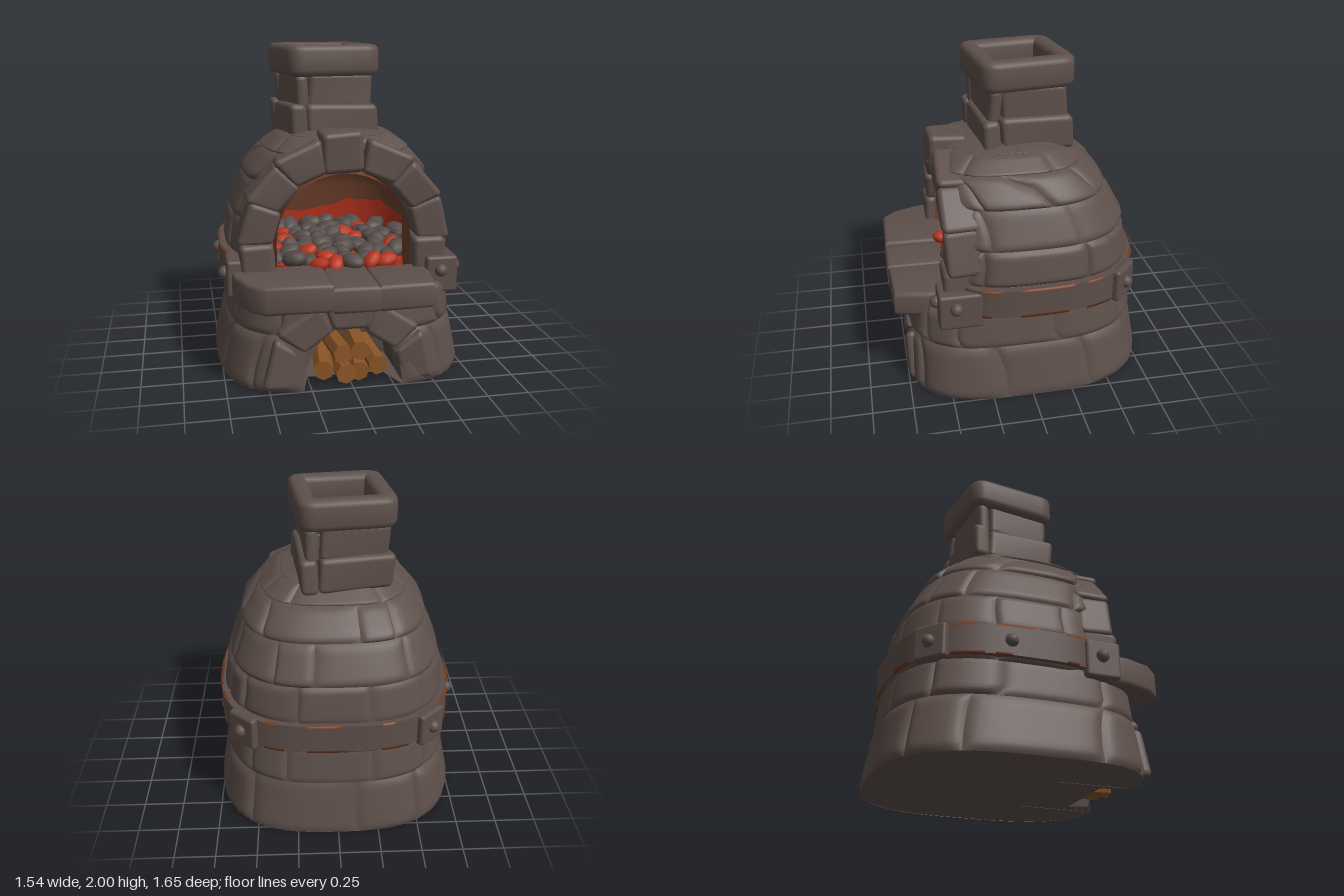
import * as THREE from 'three';
import { mergeVertices, mergeGeometries, toCreasedNormals } from 'three/addons/utils/BufferGeometryUtils.js';
import { RoundedBoxGeometry } from 'three/addons/geometries/RoundedBoxGeometry.js';

const mat = (name, color) => new THREE.MeshStandardMaterial({ name, color, side: THREE.DoubleSide });
const stone = mat('stone', 0x5e504b), iron = mat('iron', 0x5c4e49), soot = mat('soot', 0x50453f);
const hotBrick = mat('hotBrick', 0x6f402c), ember = mat('ember', 0xb5321c), coal = mat('coal', 0x544b47);
const wood = mat('wood', 0x8a5526), rust = mat('rust', 0x6e3a20);

let seed = 7;
const rnd = () => (seed = (seed * 16807) % 2147483647) / 2147483647;
const TAU = Math.PI * 2, BACK = 0.7;

// Rounded-square plan curve; phi runs from the front through +x to the back
function plan([W, F, B], phi, off, zMax, front) {
  const s = Math.sin(phi), c = Math.cos(phi), e = c > 0 ? front : BACK;
  const x = (W + off) * Math.sign(s) * Math.abs(s) ** e;
  const z = (c > 0 ? F + off : -B - off) * Math.abs(c) ** e;
  return [x, Math.min(z, zMax + off)];
}
// Interpolate [y, W, F, B] rows
function profile(rows, y) {
  let i = 0;
  while (i < rows.length - 2 && y > rows[i + 1][0]) i++;
  const a = rows[i], b = rows[i + 1], k = Math.min(1, Math.max(0, (y - a[0]) / (b[0] - a[0])));
  return [1, 2, 3].map(j => a[j] + (b[j] - a[j]) * k);
}
// Grid surface from fn(u, v)
function surf(us, vs, fn) {
  const pos = [], idx = [], n = us.length;
  vs.forEach(v => us.forEach(u => pos.push(...fn(u, v))));
  for (let i = 0; i < vs.length - 1; i++) for (let j = 0; j < n - 1; j++) {
    const a = i * n + j;
    idx.push(a, a + 1, a + n + 1, a, a + n + 1, a + n);
  }
  const g = new THREE.BufferGeometry();
  g.setAttribute('position', new THREE.Float32BufferAttribute(pos, 3));
  g.setIndex(idx);
  g.computeVertexNormals();
  return g;
}
const steps = (a, b, n) => Array.from({ length: n + 1 }, (_, i) => a + (b - a) * i / n);

const base = {
  rows: [[0, 0.762, 0.76, 0.815], [0.3, 0.705, 0.735, 0.765], [0.58, 0.665, 0.71, 0.72]], zMax: 0.76, front: 0.58,
  gap: y => 0.3 * Math.sqrt(Math.max(0, 1 - (y / 0.4) ** 2)),
};
const dome = {
  rows: [[0.55, 0.685, 0.55, 0.735], [0.75, 0.685, 0.55, 0.72], [1, 0.65, 0.55, 0.67], [1.25, 0.55, 0.55, 0.535],
    [1.38, 0.44, 0.52, 0.39], [1.46, 0.33, 0.4, 0.27], [1.49, 0.2, 0.22, 0.2]], zMax: 0.42, front: 0.68,
  gap: y => 0.53 * Math.sqrt(Math.max(0, 1 - (Math.max(0, y - 0.84) / 0.53) ** 2)),
};
// Point on a shell, t from 0 to 1 around it, leaving the front opening free
function shellPoint(s, t, y, off = 0) {
  const r = profile(s.rows, y);
  const p0 = Math.asin(Math.min(1, s.gap(y) / r[0]) ** (1 / s.front));
  const [x, z] = plan(r, p0 + t * (TAU - 2 * p0), off, s.zMax, s.front);
  return [x, y, z];
}
// Courses of softly bulging stones
function masonry(s, ys, counts) {
  const samples = [0, 0.03, 0.08, 0.15, 0.25, 0.38, 0.5, 0.62, 0.75, 0.85, 0.92, 0.97, 1];
  const edge = t => Math.sin(Math.PI / 2 * Math.min(1, Math.min(t, 1 - t) / 0.15));
  const parts = [];
  counts.forEach((n, k) => {
    const cuts = steps(0, 1, n).map((t, i) => (i === 0 || i === n ? t : t + (rnd() - 0.5) * 0.5 / n));
    for (let i = 0; i < n; i++) {
      const bulge = 0.01 + rnd() * 0.016, lean = (rnd() - 0.5) * 0.016;
      parts.push(surf(samples, samples, (u, v) => shellPoint(s, cuts[i] + (cuts[i + 1] - cuts[i]) * u,
        ys[k] + (ys[k + 1] - ys[k]) * v, -0.002 + (bulge + lean * (u - v)) * edge(u) * edge(v))));
    }
  });
  return mergeGeometries(parts);
}
// Lumpy rounded stone block; taper widens its height along x
function block(w, h, d, taper = 0) {
  let g = new RoundedBoxGeometry(w, h, d, 3, 0.035);
  g.deleteAttribute('uv'); g.deleteAttribute('normal');
  g = mergeVertices(g, 1e-4);
  const p = g.attributes.position, a = rnd() * 6, b = rnd() * 6;
  for (let i = 0; i < p.count; i++) {
    const x = p.getX(i), y = p.getY(i) * (1 + taper * p.getX(i)), z = p.getZ(i);
    p.setXYZ(i, x + 0.01 * Math.sin(9 * y + a), y + 0.008 * Math.sin(9 * x + 7 * z + b), z + 0.01 * Math.sin(8 * x + 9 * y + a + b));
  }
  g.computeVertexNormals();
  return g;
}
const flatShape = pts => new THREE.Shape(pts.map(([x, y]) => new THREE.Vector2(x, y)));
// Bevelled slab lying flat with its top at the given height
function slab(shape, height, bevel, top) {
  const g = new THREE.ExtrudeGeometry(shape, { depth: height - 2 * bevel, bevelSize: bevel, bevelThickness: bevel, bevelSegments: 3, curveSegments: 5 });
  g.rotateX(Math.PI / 2).translate(0, top - bevel, 0);
  return toCreasedNormals(g, 0.8);
}
function roundSquare(path, h, r) {
  path.moveTo(h, -h + r);
  [[1, 1], [-1, 1], [-1, -1], [1, -1]].forEach(([x, y], i) => {
    const a = i % 2 ? [x * (h - r), y * h] : [x * h, y * (h - r)], b = i % 2 ? [x * h, y * (h - r)] : [x * (h - r), y * h];
    path.lineTo(...a).quadraticCurveTo(x * h, y * h, ...b);
  });
  return path;
}

export function createModel() {
  const model = new THREE.Group();
  const add = (name, g, m, x = 0, y = 0, z = 0, parent = model) => {
    const mesh = new THREE.Mesh(g, m);
    mesh.name = name; mesh.position.set(x, y, z); parent.add(mesh);
    return mesh;
  };
  // Stone base and dome
  add('base', masonry(base, [0, 0.34, 0.58], [10, 11]), stone);
  add('dome', masonry(dome, [0.55, 0.75, 0.97, 1.2, 1.37, 1.46, 1.49], [9, 9, 8, 8, 7, 5]), stone);
  const outline = y => steps(0, 1, 60).map(t => shellPoint(base, t, y)).map(([x, , z]) => [x, z]);
  const flat = pts => new THREE.ShapeGeometry(flatShape(pts)).rotateX(Math.PI / 2);
  add('underside', flat([...outline(0), [-0.25, 0.55], [0.22, 0.55]]), stone, 0, 0.002, 0);
  add('deck', flat(outline(0.58)), stone, 0, 0.575, 0);

  // Inside of the dome, glowing low down at the back
  const jag = t => 0.71 + 0.14 * Math.exp(-(((t - 0.39) / 0.14) ** 2)) + 0.012 * Math.sin(t * 60) + 0.008 * Math.sin(t * 131);
  const around = steps(0, 1, 110);
  add('glowingWall', surf(around, [0, 1], (t, v) => shellPoint(dome, t, 0.58 + (jag(t) - 0.58) * v, -0.05)), ember);
  add('innerWall', surf(around, steps(0, 1, 12), (t, v) => shellPoint(dome, t, jag(t) + (1.47 - jag(t)) * v, -0.05)), hotBrick);
  // Warm lining of the mouth
  add('mouthLining', surf([-1, ...steps(0, Math.PI, 18), 4], [0.28, 0.46], (a, z) => {
    const k = Math.min(Math.PI, Math.max(0, a));
    return [0.415 * Math.cos(k), k === a ? 0.84 + 0.41 * Math.sin(k) : 0.6, z];
  }), hotBrick);

  // Coal bed
  add('emberBed', new THREE.CylinderGeometry(0.6, 0.6, 0.06, 24).scale(1, 1, 0.88), ember, 0, 0.625, -0.08);
  for (let i = 0; i < 10; i++) for (let j = 0; j < 10; j++) {
    const x = -0.52 + i * 0.115 + (rnd() - 0.5) * 0.05, z = -0.55 + j * 0.108 + (rnd() - 0.5) * 0.05;
    if (Math.hypot(x / 0.58, (z + 0.08) / 0.58) > 1 || (z > 0.25 && Math.abs(x) > 0.37)) continue;
    const hot = rnd() < (z > 0.2 ? 0.4 : 0.15);
    const lump = add('coal', toCreasedNormals(new THREE.IcosahedronGeometry(0.052 + rnd() * 0.022, 1), 0.7), hot ? ember : coal, x, 0.668 + rnd() * 0.035, z);
    lump.scale.set(1.3, 0.75, 0.95);
    lump.rotation.set(rnd() * 0.6, rnd() * 6, rnd() * 0.6);
  }

  // Arch around the mouth
  for (const s of [-1, 1]) {
    add('archJamb', block(0.21, 0.27, 0.24), stone, s * 0.53, 0.72, 0.4);
    [[12, 0.25], [37, 0.25], [63, 0.27]].forEach(([deg, len]) => {
      const a = deg * Math.PI / 180;
      const v = add('archStone', block(0.21, len, 0.22 + rnd() * 0.02, s * 1.9), stone, s * 0.53 * Math.cos(a), 0.84 + 0.53 * Math.sin(a), 0.4);
      v.rotation.z = s * a;
    });
  }
  add('keystone', block(0.25, 0.25, 0.24), stone, -0.025, 1.385, 0.405);

  // Firebox under the ledge
  add('fireboxVault', new THREE.CylinderGeometry(0.31, 0.31, 0.45, 18, 1, true, Math.PI / 2, Math.PI).rotateX(Math.PI / 2).scale(1, 1.22, 1), soot, 0, 0, 0.475);
  add('fireboxBack', new THREE.CircleGeometry(0.31, 18, 0, Math.PI).scale(1, 1.22, 1), soot, 0, 0, 0.26);
  for (let i = 0; i < 5; i++) {
    const a = (18 + i * 36) * Math.PI / 180;
    const v = add('fireboxStone', block(0.2, 0.27, 0.18, 2.3), stone, 0.41 * Math.cos(a) - 0.02, 0.46 * Math.sin(a), 0.66);
    v.rotation.z = a;
  }
  for (const [x, y] of [[-0.07, 0.2], [0.05, 0.225], [-0.15, 0.1], [-0.04, 0.065], [0.06, 0.08], [0.16, 0.11]]) {
    const g = new THREE.CylinderGeometry(0.062, 0.056, 0.38, 7).rotateX(Math.PI / 2);
    const log = add('log', toCreasedNormals(g, 0.5), wood, x, y, 0.49 + rnd() * 0.04);
    log.rotation.set((rnd() - 0.5) * 0.1, (rnd() - 0.5) * 0.25, rnd() * 3);
  }

  // Ledge of three slabs
  [[[[-0.67, 0.45], [-0.66, 0.56], [-0.6, 0.72], [-0.52, 0.8], [-0.16, 0.805], [-0.16, 0.45]], 0.175, 0.685],
    [[[-0.115, 0.45], [-0.115, 0.81], [0.115, 0.81], [0.115, 0.45]], 0.16, 0.66],
    [[[0.16, 0.45], [0.16, 0.805], [0.45, 0.79], [0.485, 0.6], [0.485, 0.45]], 0.16, 0.657]]
    .forEach(([pts, h, top]) => add('ledgeSlab', slab(flatShape(pts), h, 0.025, top), stone));

  // Chimney: two stages of blocks and a collar
  const chimney = new THREE.Group();
  chimney.name = 'chimney';
  chimney.position.set(-0.045, 0, -0.042);
  chimney.rotation.y = 0.13;
  model.add(chimney);
  for (const [y, h, half, th] of [[1.53, 0.22, 0.285, 0.11], [1.72, 0.22, 0.25, 0.08]]) for (let i = 0; i < 4; i++) {
    const side = new THREE.Group();
    side.name = 'chimneySide';
    side.rotation.y = i * Math.PI / 2;
    chimney.add(side);
    add('chimneyStone', block(2 * half - th, h, th), stone, th / 2, y, half - th / 2, side);
  }
  const collar = roundSquare(new THREE.Shape(), 0.258, 0.06);
  collar.holes.push(roundSquare(new THREE.Path(), 0.22, 0.03));
  add('chimneyCollar', slab(collar, 0.19, 0.04, 2), stone, 0, 0, 0, chimney);

  // Iron band with rusty edges
  const bandPoint = (phi, y, off) => {
    const [x, z] = plan([0.735, 0.55, 0.755], phi, off, 0.45, 0.65);
    return [x, y, z];
  };
  const section = [[0.57, -0.05], [0.57, 0], [0.57, 0], [0.75, 0], [0.75, 0], [0.75, -0.05]];
  add('band', surf(steps(0.85, TAU - 0.85, 70), [0, 1, 2, 3, 4, 5], (phi, v) => bandPoint(phi, ...section[v])), iron);
  for (const [edge, d] of [[0.75, 1], [0.57, -1]]) for (let i = 0; i < 11; i++) {
    const a = 1.15 + i * 0.37, len = 0.1 + rnd() * 0.2;
    add('rustEdge', surf(steps(a, a + len, 8), [0, 1, 2],
      (phi, v) => bandPoint(phi, edge + d * [-0.013, 0.003, 0.003][v], [0.005, 0.005, -0.012][v])), rust);
  }

  // Plates and rivets
  const rivet = (x, y, z) => add('rivet', new THREE.SphereGeometry(0.04, 14, 10), iron, x, y, z);
  add('frontPlate', new RoundedBoxGeometry(0.2, 0.23, 0.27, 2, 0.02), iron, 0.595, 0.615, 0.43);
  rivet(0.585, 0.645, 0.57); rivet(0.7, 0.645, 0.46);
  add('frontPlate', new RoundedBoxGeometry(0.2, 0.23, 0.22, 2, 0.02), iron, -0.62, 0.635, 0.39);
  rivet(-0.725, 0.65, 0.38);
  for (const phi of [2.38, TAU - 2.38]) {
    const plate = add('rearPlate', new RoundedBoxGeometry(0.21, 0.21, 0.06, 2, 0.02), iron, ...bandPoint(phi, 0.65, 0));
    plate.rotation.y = phi;
    rivet(...bandPoint(phi, 0.65, 0.025));
  }
  rivet(...bandPoint(TAU - 1.7, 0.66, 0));
  return model;
}
